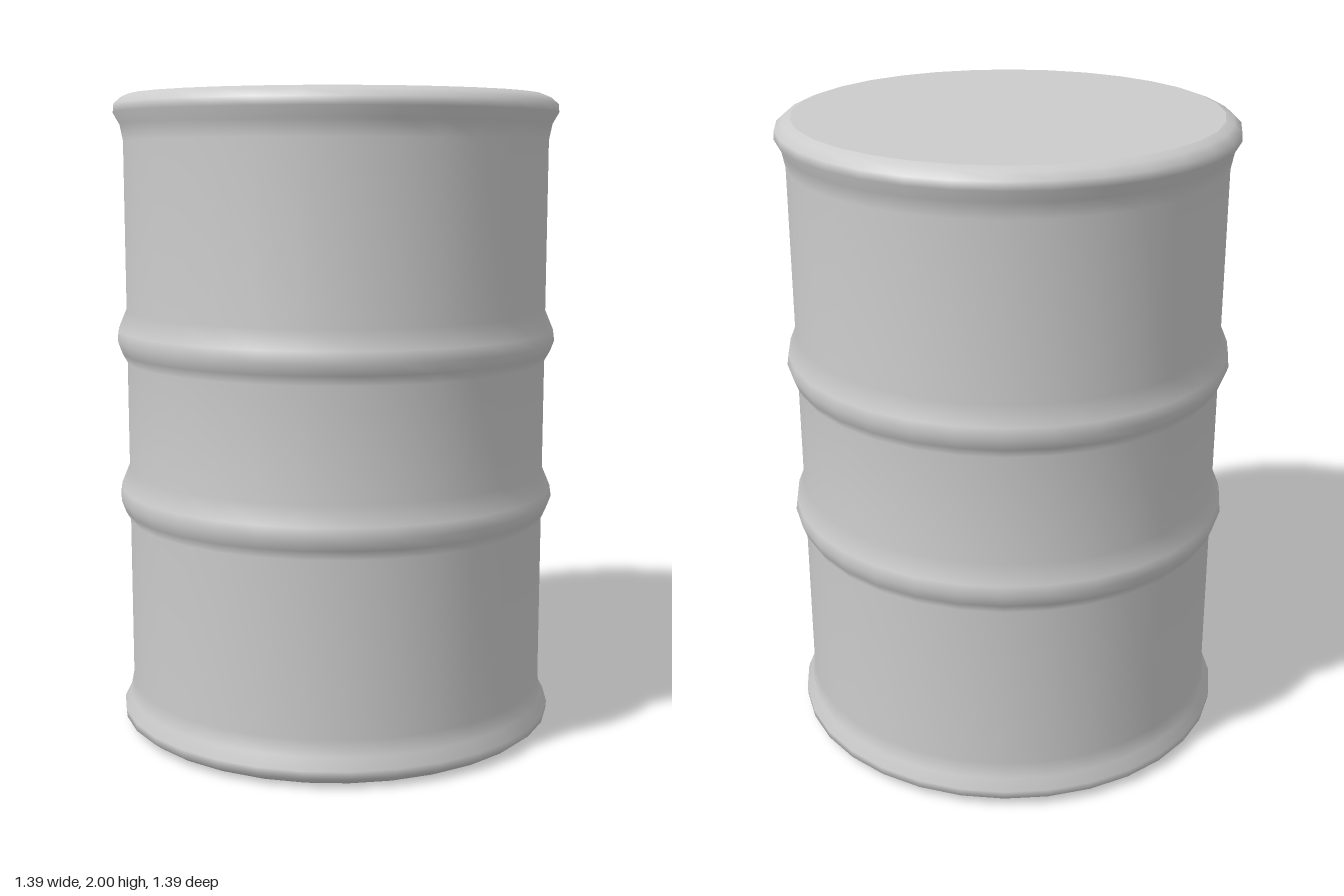
import * as THREE from 'three';

const SEGMENTS = 32;

export function createModel() {
  const group = new THREE.Group();
  group.name = 'barrel';
  const material = new THREE.MeshStandardMaterial({ color: 0xcccccc });

  const add = (name, geometry) => {
    const mesh = new THREE.Mesh(geometry, material);
    mesh.name = name;
    group.add(mesh);
    return mesh;
  };

  const wall = 0.665;
  // Raised hoop pressed into the wall, centred at height y
  const hoop = (y) => [[wall, y - 0.075], [0.682, y - 0.045], [0.695, y - 0.01], [0.69, y + 0.025], [wall, y + 0.085]];

  // Side wall with rolled rims and two hoops, bottom to top
  const profile = [
    [0.645, 0], [0.67, 0.012], [0.693, 0.03], [0.695, 0.055], [0.675, 0.09], [wall, 0.14],
    ...hoop(0.75),
    ...hoop(1.25),
    [wall, 1.86], [0.675, 1.91], [0.695, 1.945], [0.693, 1.97], [0.67, 1.99], [0.645, 2],
  ].map(([r, y]) => new THREE.Vector2(r, y));
  add('shell', new THREE.LatheGeometry(profile, SEGMENTS));

  // Flat ends
  const end = new THREE.CircleGeometry(0.645, SEGMENTS);
  const lid = add('lid', end);
  lid.rotation.x = -Math.PI / 2;
  lid.position.y = 2;
  const base = add('base', end);
  base.rotation.x = Math.PI / 2;

  return group;
}
